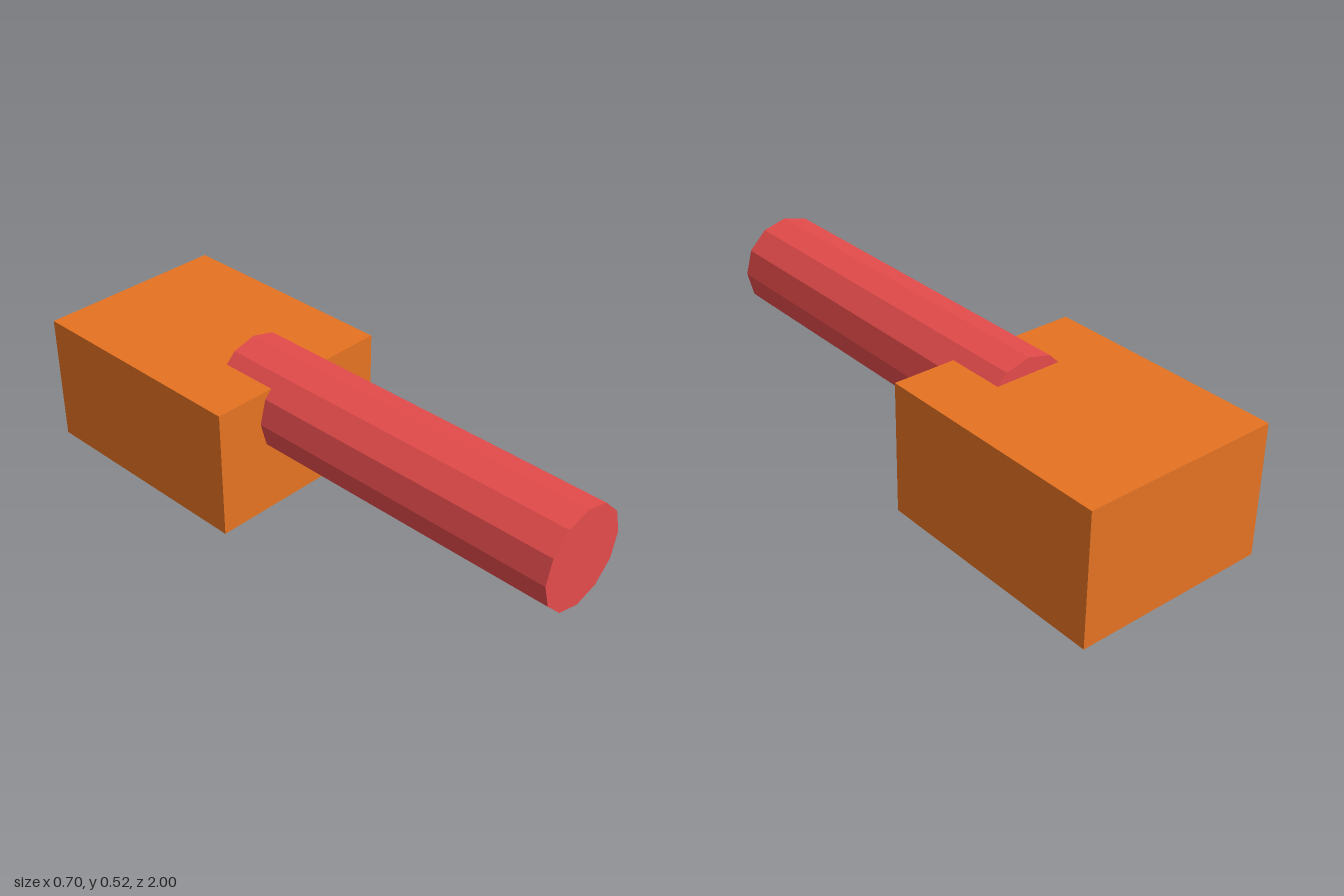
import * as THREE from 'three';

export function createModel() {
  const group = new THREE.Group();

  const addPart = (name, geometry, color, x, y, z) => {
    const material = new THREE.MeshStandardMaterial({ color, flatShading: true });
    const mesh = new THREE.Mesh(geometry, material);
    mesh.name = name;
    mesh.position.set(x, y, z);
    group.add(mesh);
  };

  // Rear block standing on the ground
  const blockHeight = 0.465, blockFront = -0.145, blockBack = -1;
  const blockDepth = blockFront - blockBack;
  addPart('block', new THREE.BoxGeometry(0.696, blockHeight, blockDepth), 0xe67322,
    0, blockHeight / 2, (blockFront + blockBack) / 2);

  // Twelve-sided barrel along z, sunk into the block's top front edge
  const barrelFront = 1, barrelBack = -0.357, radius = 0.174;
  const barrel = new THREE.CylinderGeometry(radius, radius, barrelFront - barrelBack, 12);
  barrel.rotateX(Math.PI / 2);
  addPart('barrel', barrel, 0xe54b4b, 0, 0.35, (barrelFront + barrelBack) / 2);

  return group;
}
